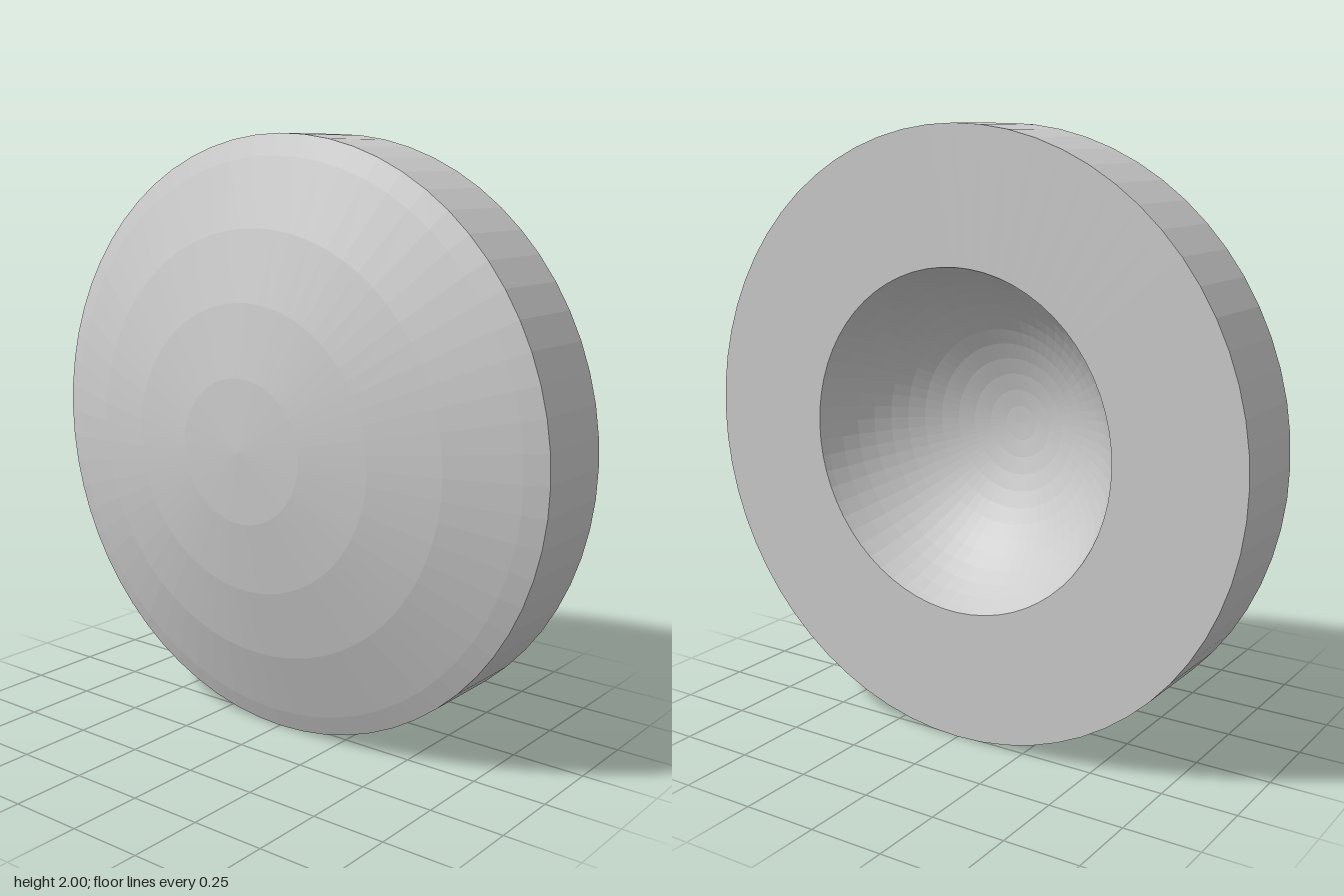
import * as THREE from 'three';

const SIDES = 64;
const STEP = Math.PI / 32; // angle between rings of the spherical surfaces

// Points on a sphere cap from its pole to radius rimR: [radius, sag from pole]
function capProfile(sphereR, rimR) {
  const end = Math.asin(rimR / sphereR);
  const points = [];
  for (let a = 0; a < end - 0.002; a += STEP) points.push(a);
  points.push(end);
  return points.map(a => [sphereR * Math.sin(a), sphereR * (1 - Math.cos(a))]);
}

export function createModel() {
  const group = new THREE.Group();
  group.name = 'lens';

  const half = 0.26;
  const cavityR = 0.6, cavityRim = 0.563;
  const cavityDepth = cavityR - Math.sqrt(cavityR ** 2 - cavityRim ** 2);

  // Shallow dome, straight rim, flat annular face, then the deep hollow
  const dome = capProfile(2.43, 1).map(([r, s]) => new THREE.Vector2(r, -half + s));
  const hollow = capProfile(cavityR, cavityRim)
    .map(([r, s]) => new THREE.Vector2(r, half - cavityDepth + s))
    .reverse();
  const profile = [...dome, new THREE.Vector2(1, half), ...hollow];

  const material = new THREE.MeshStandardMaterial({ color: 0xcccccc, flatShading: true });
  const body = new THREE.Mesh(new THREE.LatheGeometry(profile, SIDES), material);
  body.name = 'lensBody';
  body.rotation.z = -Math.PI / 2; // optical axis along x, hollow facing +x
  body.position.y = 1;
  group.add(body);

  return group;
}
